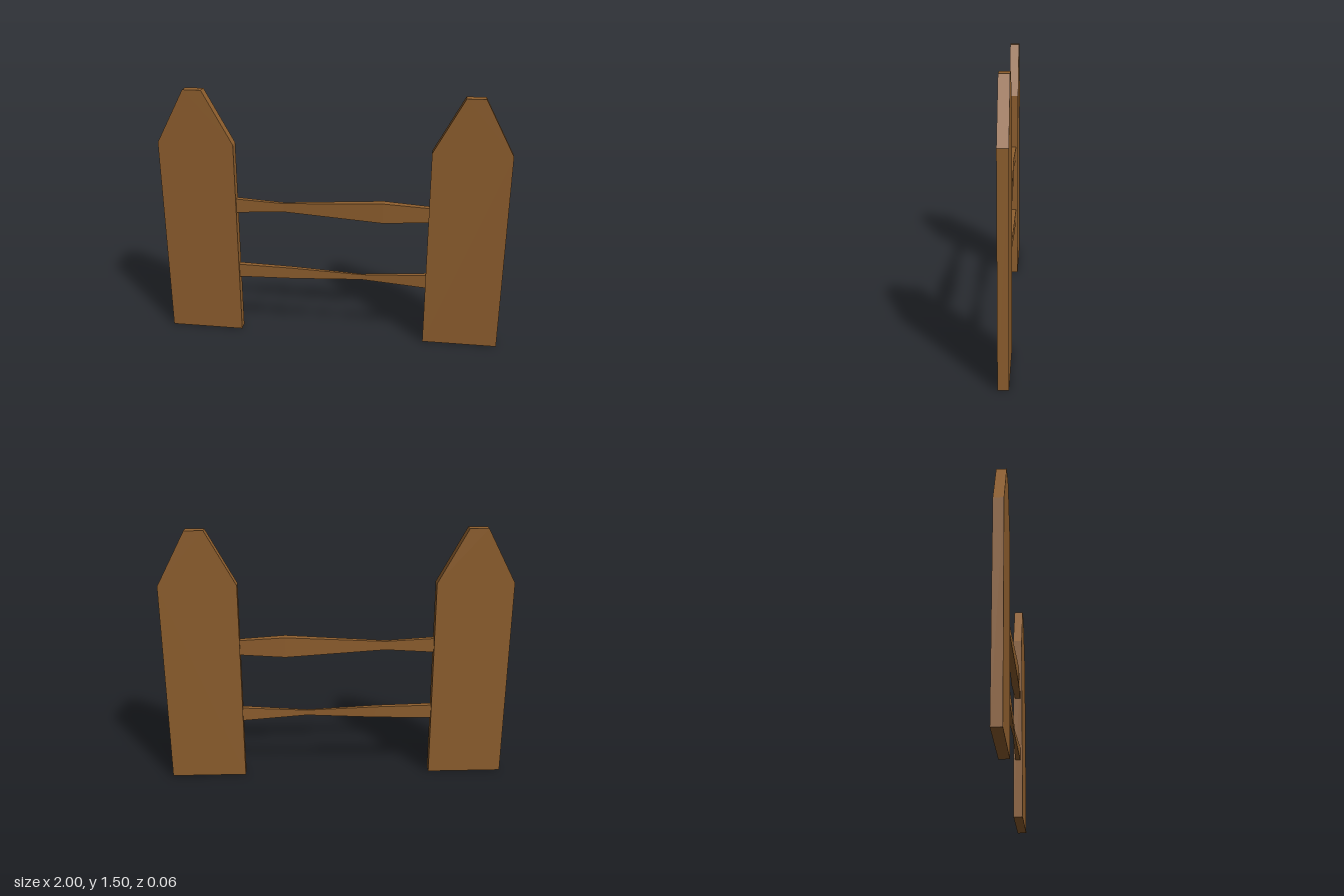
import * as THREE from 'three';

// Box rail whose height and thickness vary along x.
// Each station: [x, centre y, half height, half thickness]
function taperedRail(stations) {
  const geo = new THREE.BoxGeometry(1, 2, 2, stations.length - 1, 1, 1);
  const pos = geo.attributes.position;
  for (let i = 0; i < pos.count; i++) {
    const k = Math.round((pos.getX(i) + 0.5) * (stations.length - 1));
    const [x, y, h, t] = stations[k];
    pos.setXYZ(i, x, y + pos.getY(i) * h, pos.getZ(i) * t);
  }
  geo.computeVertexNormals();
  return geo;
}

export function createModel() {
  const group = new THREE.Group();
  group.name = 'fenceSection';
  const wood = new THREE.MeshStandardMaterial({ color: 0x8f5f2e, flatShading: true });
  wood.name = 'brownWood';

  const add = (name, geo) => {
    const mesh = new THREE.Mesh(geo, wood);
    mesh.name = name;
    group.add(mesh);
    return mesh;
  };

  // Pointed pickets with a blunt tip
  const depth = 0.056;
  const outline = [[-0.22, 0], [0.22, 0], [0.22, 1.195], [0.053, 1.505], [-0.053, 1.505], [-0.22, 1.195]];
  const shape = new THREE.Shape(outline.map(([x, y]) => new THREE.Vector2(x, y)));
  const picketGeo = new THREE.ExtrudeGeometry(shape, { depth, bevelEnabled: false });
  picketGeo.translate(0, 0, -depth / 2);
  for (const [name, side] of [['leftPicket', 1], ['rightPicket', -1]]) {
    add(name, picketGeo).position.x = side * 0.78;
  }

  // Uneven hand-hewn rails between the pickets
  add('upperRail', taperedRail([
    [-0.562, 0.822, 0.042, 0.016],
    [-0.28, 0.822, 0.026, 0.01],
    [0.3, 0.822, 0.06, 0.023],
    [0.562, 0.822, 0.044, 0.017],
  ]));
  add('lowerRail', taperedRail([
    [-0.562, 0.4, 0.041, 0.016],
    [-0.23, 0.4, 0.034, 0.013],
    [0.18, 0.4, 0.016, 0.006],
    [0.562, 0.4, 0.041, 0.016],
  ]));

  return group;
}
